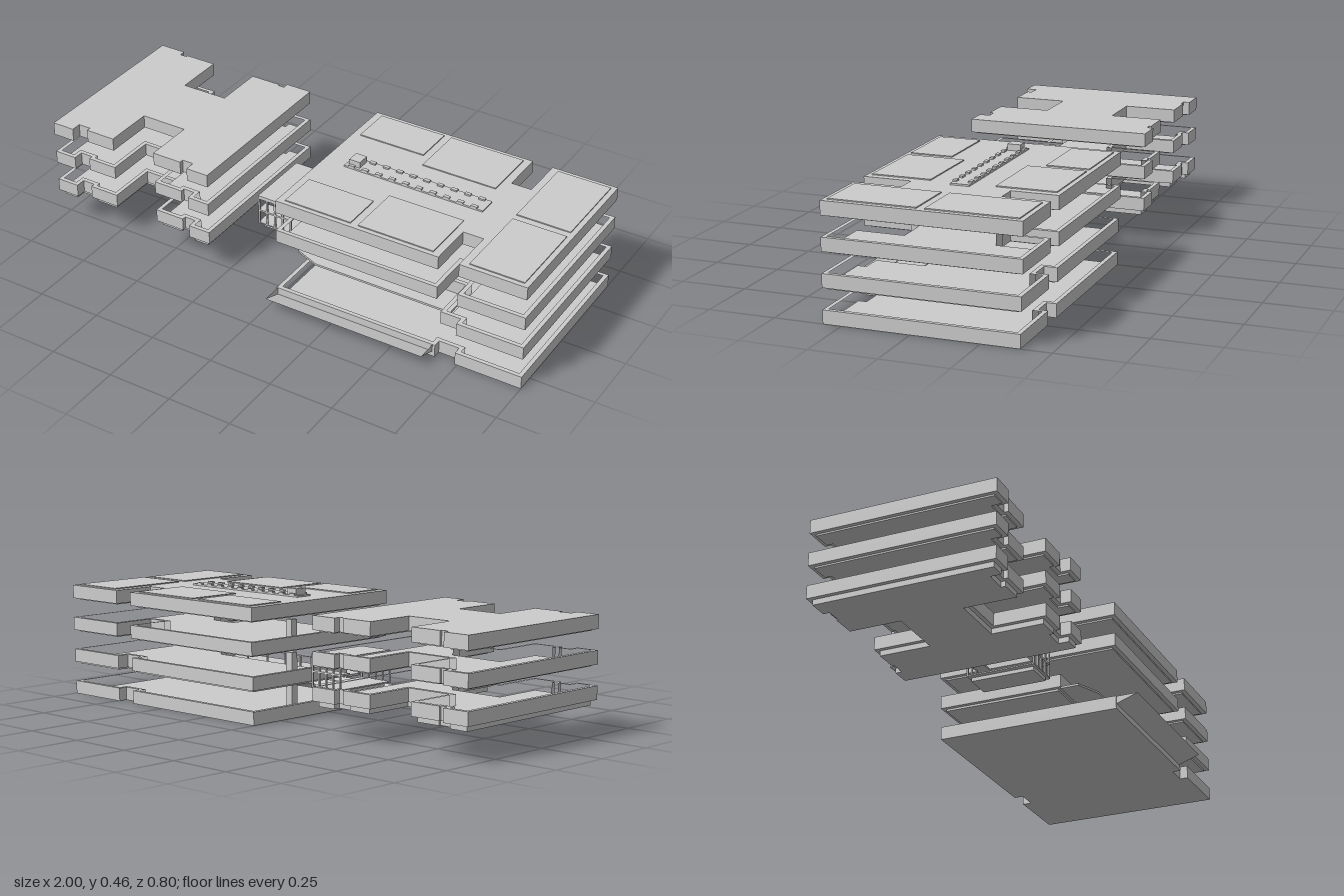
import * as THREE from 'three';

const grey = new THREE.MeshStandardMaterial({ color: 0xcccccc, flatShading: true });
const sheet = new THREE.MeshStandardMaterial({ color: 0xcccccc, flatShading: true, side: THREE.DoubleSide });

function add(parent, name, geometry, material = grey) {
  const mesh = new THREE.Mesh(geometry, material);
  mesh.name = name;
  parent.add(mesh);
  return mesh;
}

// box given by its extents
function box(parent, name, x0, x1, y0, y1, z0, z1) {
  const mesh = add(parent, name, new THREE.BoxGeometry(x1 - x0, y1 - y0, z1 - z0));
  mesh.position.set((x0 + x1) / 2, (y0 + y1) / 2, (z0 + z1) / 2);
}

// move every edge of a right-angled plan inwards by d
function inset(plan, d) {
  const n = plan.length;
  let area = 0;
  plan.forEach(([x, z], i) => {
    const [x2, z2] = plan[(i + 1) % n];
    area += x * z2 - x2 * z;
  });
  const s = Math.sign(area);
  return plan.map(([x, z], i) => {
    const [px, pz] = plan[(i + n - 1) % n];
    const [qx, qz] = plan[(i + 1) % n];
    const dx = Math.sign(x - px) + Math.sign(qx - x);
    const dz = Math.sign(z - pz) + Math.sign(qz - z);
    return [x - dz * s * d, z + dx * s * d];
  });
}

// upright prism over an (x, z) plan, with an optional hole
function prism(parent, name, plan, y0, y1, hole) {
  const points = (p) => p.map(([x, z]) => new THREE.Vector2(x, -z));
  const shape = new THREE.Shape(points(plan));
  if (hole) shape.holes.push(new THREE.Path(points(hole)));
  const geometry = new THREE.ExtrudeGeometry(shape, { depth: y1 - y0, bevelEnabled: false });
  geometry.rotateX(-Math.PI / 2);
  geometry.translate(0, y0, 0);
  add(parent, name, geometry);
}

// open storey: floor plate, outer wall ring, and a recessed underside
function tray(parent, plan, y, under) {
  const inner = inset(plan, 0.016);
  prism(parent, 'walls', plan, y, y + 0.05, inner);
  prism(parent, 'floor', inner, y, y + 0.01);
  if (under) prism(parent, 'underside', inner, y - under, y);
}

function createWing() {
  const wing = new THREE.Group();
  wing.name = 'sideWing';
  const plan = [
    [-1, -0.395], [-0.895, -0.395], [-0.895, -0.37], [-0.865, -0.37], [-0.865, -0.378], [-0.74, -0.378],
    [-0.74, -0.18], [-0.555, -0.18], [-0.555, -0.378], [-0.43, -0.378], [-0.43, -0.37], [-0.405, -0.37],
    [-0.405, -0.395], [-0.3, -0.395], [-0.3, 0.31], [-0.39, 0.31], [-0.39, 0.27], [-0.435, 0.27],
    [-0.435, 0.287], [-0.555, 0.287], [-0.555, 0.09], [-0.74, 0.09], [-0.74, 0.287], [-0.86, 0.287],
    [-0.86, 0.27], [-0.91, 0.27], [-0.91, 0.31], [-1, 0.31],
  ];
  tray(wing, plan, 0.129, 0.02);
  tray(wing, plan, 0.254, 0.006);
  prism(wing, 'roofStorey', plan, 0.379, 0.43);
  prism(wing, 'roofUnderside', inset(plan, 0.016), 0.373, 0.379);
  return wing;
}

// main block plan: notches end at nb (back) and nf (front), left front edge at zf
const mainPlan = (back, front, nb, nf, zf) => [
  [0, back], [0.66, back], [0.66, nb], [0.74, nb], [0.74, back], [1, back],
  [1, front], [0.74, front], [0.74, nf], [0.66, nf], [0.66, zf], [0, zf],
];

function createMain() {
  const main = new THREE.Group();
  main.name = 'mainBlock';
  const upper = mainPlan(-0.398, 0.318, -0.225, 0.14, 0.318);

  tray(main, mainPlan(-0.39, 0.318, -0.355, 0.287, 0.318), 0.001, 0);
  tray(main, mainPlan(-0.393, 0.318, -0.345, 0.285, 0.1), 0.128, 0.008);
  tray(main, upper, 0.254, 0.006);
  prism(main, 'roofStorey', upper, 0.379, 0.43);
  prism(main, 'roofUnderside', inset(upper, 0.018), 0.373, 0.379);

  // recessed glazed front on the first floor
  prism(main, 'terraceFloor', [[0, 0.1], [0.66, 0.1], [0.66, 0.21], [0.1, 0.21], [0, 0.17]], 0.12, 0.128);
  for (const x of [0.11, 0.19, 0.25, 0.33, 0.43, 0.54]) {
    box(main, 'mullion', x - 0.003, x + 0.003, 0.128, 0.178, 0.1, 0.106);
  }

  // lift shaft through the open storeys
  for (const y of [0.01, 0.135, 0.26]) box(main, 'liftShaft', 0.14, 0.17, y, y + 0.08, -0.054, -0.025);

  // sloping canopy with an open top along the ground floor front
  const slope = new THREE.BufferGeometry();
  slope.setAttribute('position', new THREE.Float32BufferAttribute(
    [0.005, 0.022, 0.318, 0.65, 0.022, 0.318, 0.65, 0.051, 0.4, 0.005, 0.051, 0.4], 3));
  slope.setIndex([0, 1, 2, 0, 2, 3]);
  slope.computeVertexNormals();
  add(main, 'canopySlope', slope, sheet);
  for (const x of [0.005, 0.65]) {
    const cheek = new THREE.BufferGeometry();
    cheek.setAttribute('position', new THREE.Float32BufferAttribute(
      [x, 0.022, 0.318, x, 0.051, 0.4, x, 0.051, 0.318], 3));
    cheek.computeVertexNormals();
    add(main, 'canopyCheek', cheek, sheet);
  }

  // raised panels on the roof
  for (const [x0, x1, z0, z1] of [
    [0.03, 0.3, -0.38, -0.22], [0.33, 0.63, -0.38, -0.16],
    [0.03, 0.3, 0.14, 0.3], [0.33, 0.63, 0.08, 0.3],
    [0.77, 0.98, -0.38, -0.05], [0.77, 0.98, -0.02, 0.3],
  ]) box(main, 'roofPanel', x0, x1, 0.43, 0.434, z0, z1);

  // roof spine with paired blocks and the lift head
  box(main, 'roofSpine', 0.09, 0.66, 0.43, 0.436, -0.075, -0.004);
  for (let i = 0; i < 10; i++) {
    const x = 0.12 + i * 0.056;
    for (const z of [-0.068, -0.011]) box(main, 'roofVent', x - 0.012, x + 0.012, 0.43, 0.442, z - 0.007, z + 0.007);
  }
  box(main, 'liftHead', 0.105, 0.15, 0.43, 0.46, -0.065, -0.015);
  return main;
}

function createBridge() {
  const bridge = new THREE.Group();
  bridge.name = 'linkBridge';
  box(bridge, 'bridgeRoof', -0.225, -0.08, 0.234, 0.248, -0.175, 0.093);
  box(bridge, 'bridgeBase', -0.205, -0.1, 0.112, 0.128, -0.165, 0.083);
  box(bridge, 'bridgeFloor', -0.225, -0.08, 0.126, 0.131, -0.175, 0.093);
  box(bridge, 'landing', -0.225, -0.08, 0.18, 0.187, 0.045, 0.093);
  box(bridge, 'landing', -0.225, -0.08, 0.18, 0.187, -0.175, -0.125);
  // window bars at both ends
  for (const z of [-0.175, 0.087]) {
    for (let i = 0; i < 5; i++) {
      const x = -0.225 + i * 0.0345;
      box(bridge, 'post', x, x + 0.007, 0.131, 0.234, z, z + 0.006);
    }
  }
  return bridge;
}

export function createModel() {
  const model = new THREE.Group();
  model.name = 'buildingStoreys';
  model.add(createWing(), createMain(), createBridge());
  return model;
}
